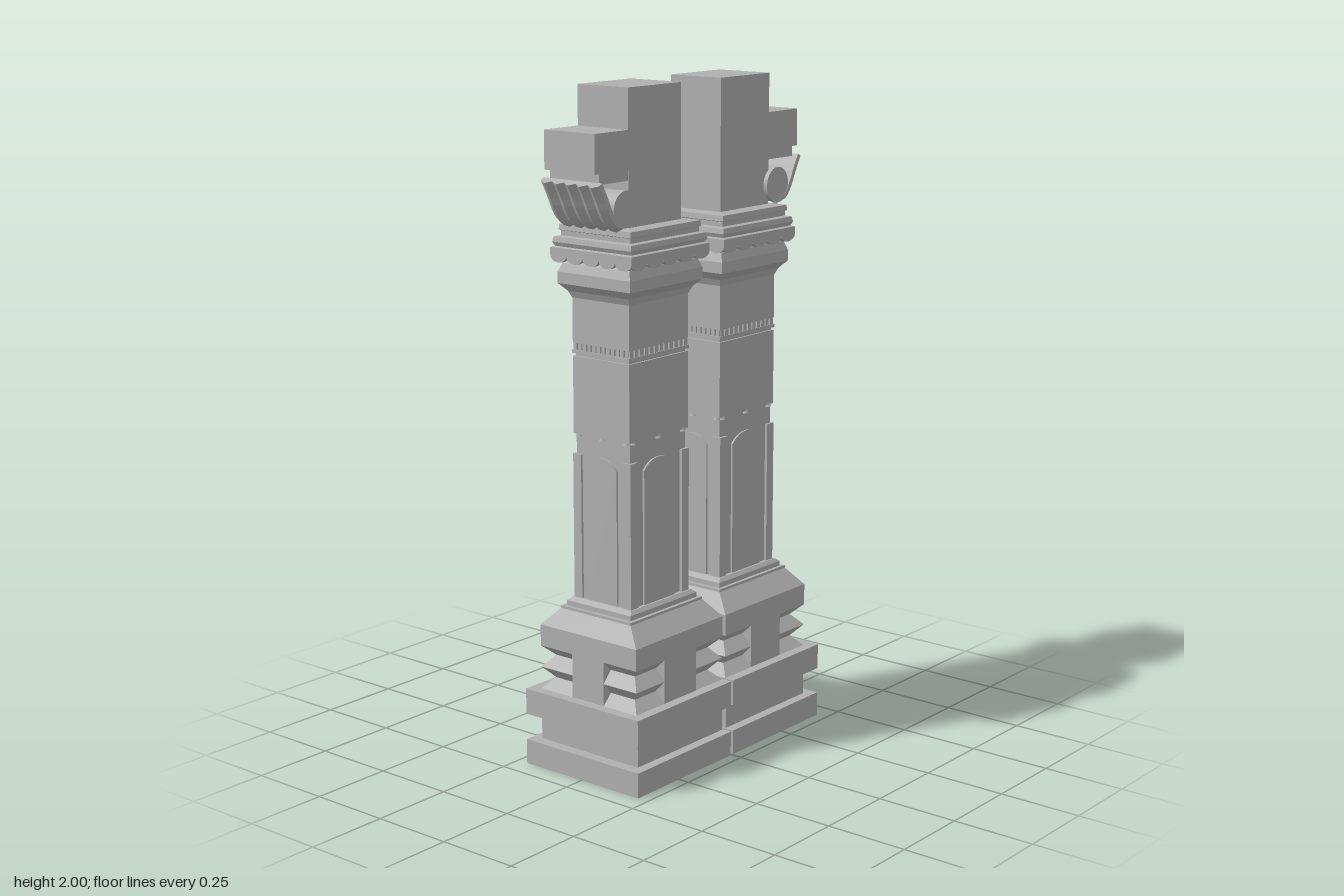
import * as THREE from 'three';

const stone = new THREE.MeshStandardMaterial({ color: 0xb0b0b0 });
stone.name = 'grey stone';

const CX = 0.205; // pillar axis

// Flat-faced geometry from a list of quads
function quads(list) {
  const pos = [];
  for (const [a, b, c, d] of list) pos.push(...a, ...b, ...c, ...a, ...c, ...d);
  const g = new THREE.BufferGeometry();
  g.setAttribute('position', new THREE.Float32BufferAttribute(pos, 3));
  g.computeVertexNormals();
  return g;
}

// Rectangular moulding: rows of [y, half width, half depth], bottom to top
function moulding(rows) {
  const rings = rows.map(([y, w, d]) => [[-w, y, d], [w, y, d], [w, y, -d], [-w, y, -d]]);
  const list = [];
  for (let i = 0; i < rings.length - 1; i++) {
    for (let k = 0; k < 4; k++) {
      const n = (k + 1) % 4;
      list.push([rings[i][k], rings[i][n], rings[i + 1][n], rings[i + 1][k]]);
    }
  }
  list.push(rings[0].slice().reverse(), rings[rings.length - 1]);
  return quads(list);
}

function add(parent, name, geometry, x = 0, y = 0, z = 0, ry = 0) {
  const m = new THREE.Mesh(geometry, stone);
  m.name = name;
  m.position.set(x, y, z);
  m.rotation.y = ry;
  parent.add(m);
  return m;
}

const box = (w, h, d) => new THREE.BoxGeometry(w, h, d);

// Calls fn for each side with its half width, distance from the axis and turn
function sides(hx, hz, fn) {
  for (let k = 0; k < 4; k++) {
    const a = k * Math.PI / 2;
    const [half, dist] = k % 2 ? [hz, hx] : [hx, hz];
    fn(half, dist, a, Math.sin(a), Math.cos(a));
  }
}

function archPanel(half, y0, y1) {
  const s = new THREE.Shape();
  s.moveTo(-half, y0);
  s.lineTo(half, y0);
  s.lineTo(half, y1 - 0.03);
  s.quadraticCurveTo(half * 0.6, y1, 0, y1);
  s.quadraticCurveTo(-half * 0.6, y1, -half, y1 - 0.03);
  return new THREE.ExtrudeGeometry(s, { depth: 0.006, bevelEnabled: false, curveSegments: 8 });
}

// Hanging fringe with five scallops
function fringe(half, y0, y1) {
  const s = new THREE.Shape();
  const n = 5, r = half / n;
  s.moveTo(-half, y1);
  s.lineTo(-half, y0 + 0.02);
  for (let i = 0; i < n; i++) {
    const c = -half + r * (2 * i + 1);
    for (let j = 1; j <= 8; j++) {
      const a = Math.PI * (1 - j / 8);
      s.lineTo(c + r * Math.cos(a), y0 + 0.02 - 0.02 * Math.sin(a));
    }
  }
  s.lineTo(half, y1);
  return new THREE.ExtrudeGeometry(s, { depth: 0.014, bevelEnabled: false });
}

// Curved bracket leaf with five pointed ribs on its outer face
function ribbedLeaf() {
  const curve = new THREE.CatmullRomCurve3([[0.155, 1.618], [0.185, 1.628], [0.21, 1.66],
    [0.232, 1.705], [0.254, 1.745]].map(([x, y]) => new THREE.Vector3(x, y, 0)));
  const N = 10, M = 10, D = 0.107;
  const at = (i, j, inner) => {
    const p = curve.getPoint(i / N), t = curve.getTangent(i / N);
    const off = inner ? -0.014 : (j % 2 ? 0.012 : 0);
    return [p.x + t.y * off, p.y - t.x * off, D - 2 * D * j / M];
  };
  const list = [];
  for (let i = 0; i < N; i++) {
    for (let j = 0; j < M; j++) {
      list.push([at(i, j), at(i, j + 1), at(i + 1, j + 1), at(i + 1, j)]);
      list.push([at(i, j + 1, 1), at(i, j, 1), at(i + 1, j, 1), at(i + 1, j + 1, 1)]);
    }
    list.push([at(i, 0, 1), at(i, 0), at(i + 1, 0), at(i + 1, 0, 1)]);
    list.push([at(i, M), at(i, M, 1), at(i + 1, M, 1), at(i + 1, M)]);
  }
  for (let j = 0; j < M; j++) {
    list.push([at(N, j), at(N, j + 1), at(N, j + 1, 1), at(N, j, 1)]);
    list.push([at(0, j + 1), at(0, j), at(0, j, 1), at(0, j + 1, 1)]);
  }
  return quads(list);
}

function createPillar() {
  const p = new THREE.Group();

  // Plinth: two slabs with a recess between
  add(p, 'lowerPlinth', box(0.43, 0.075, 0.43), 0.015, 0.0375);
  add(p, 'plinthRecess', box(0.39, 0.08, 0.37), 0, 0.115);
  add(p, 'upperPlinth', box(0.43, 0.078, 0.43), 0.015, 0.194);

  // Pedestal: ribbed corners around plain central panels
  add(p, 'ribbedCorners', moulding([[0.233, 0.198, 0.183], [0.265, 0.166, 0.151],
    [0.3, 0.198, 0.183], [0.335, 0.166, 0.151], [0.365, 0.198, 0.183]]));
  add(p, 'pedestalPanelFrontBack', box(0.145, 0.135, 0.366), 0, 0.299);
  add(p, 'pedestalPanelSides', box(0.396, 0.135, 0.12), 0, 0.299);
  add(p, 'pedestalTop', moulding([[0.365, 0.198, 0.183], [0.43, 0.198, 0.183],
    [0.482, 0.163, 0.133], [0.49, 0.163, 0.133], [0.49, 0.15, 0.122], [0.505, 0.15, 0.122],
    [0.515, 0.135, 0.112]]));

  // Shaft with corner posts and arched panels
  add(p, 'shaft', box(0.248, 0.5, 0.2), 0, 0.76);
  for (const sx of [-1, 1]) for (const sz of [-1, 1]) {
    add(p, 'cornerPost', box(0.032, 0.435, 0.03), sx * 0.115, 0.7275, sz * 0.093);
  }
  sides(0.124, 0.1, (half, d, a, sx, sz) => {
    add(p, 'archedPanel', archPanel(half * 0.55, 0.51, 0.945), sx * d, 0, sz * d, a);
  });

  // Upper shaft: block, fine bands, neck and flared cushion
  add(p, 'upperShaft', moulding([[1.005, 0.131, 0.105], [1.232, 0.131, 0.105],
    [1.232, 0.125, 0.099], [1.24, 0.125, 0.099], [1.24, 0.133, 0.107], [1.25, 0.133, 0.107],
    [1.25, 0.125, 0.099], [1.27, 0.125, 0.099], [1.27, 0.131, 0.105], [1.4, 0.131, 0.105],
    [1.42, 0.141, 0.113], [1.442, 0.16, 0.134], [1.475, 0.16, 0.134], [1.5, 0.15, 0.124],
    [1.515, 0.14, 0.115]]));
  sides(0.131, 0.105, (half, d, a, sx, sz) => {
    const stud = new THREE.ConeGeometry(0.012, 0.022, 4);
    for (const u of [-0.85, 0, 0.85]) {
      add(p, 'drop', stud, sx * (d - 0.005) + sz * u * half, 1.009, sz * (d - 0.005) - sx * u * half, a);
    }
    // Dentils between the fine bands
    const n = 12;
    for (let i = 0; i < n; i++) {
      const u = half * ((2 * i + 1) / n - 1);
      add(p, 'dentil', box(1.4 * half / n, 0.02, 0.006),
        sx * (d - 0.003) + sz * u, 1.26, sz * (d - 0.003) - sx * u, a);
    }
  });

  // Capital with a scalloped fringe under stepped mouldings
  sides(0.172, 0.15, (half, d, a, sx, sz) => {
    add(p, 'scallopedFringe', fringe(half, 1.503, 1.54), sx * (d - 0.014), 0, sz * (d - 0.014), a);
  });
  add(p, 'capital', moulding([[1.515, 0.15, 0.125], [1.53, 0.172, 0.15], [1.545, 0.172, 0.15],
    [1.548, 0.162, 0.14], [1.56, 0.168, 0.146], [1.575, 0.165, 0.142], [1.578, 0.15, 0.128],
    [1.592, 0.15, 0.128], [1.594, 0.155, 0.133], [1.61, 0.153, 0.131], [1.614, 0.125, 0.103]]));

  // Top block with a side arm, scroll and leaf
  add(p, 'topBlock', box(0.23, 0.4, 0.184), 0, 1.8);
  add(p, 'sideArm', box(0.15, 0.11, 0.184), 0.18, 1.83);
  add(p, 'sideArmUnderside', box(0.125, 0.035, 0.18), 0.1725, 1.7625);
  const roll = new THREE.CylinderGeometry(0.052, 0.052, 0.212, 28);
  add(p, 'scroll', roll.rotateX(Math.PI / 2), 0.142, 1.67);
  add(p, 'ribbedLeaf', ribbedLeaf());
  return p;
}

export function createModel() {
  const model = new THREE.Group();
  model.name = 'pillarPair';
  const left = createPillar();
  left.name = 'leftPillar';
  left.position.x = CX;
  const right = createPillar(); // the half turn mirrors it, as front and back match
  right.name = 'rightPillar';
  right.position.x = -CX;
  right.rotation.y = Math.PI;
  model.add(left, right);
  return model;
}
